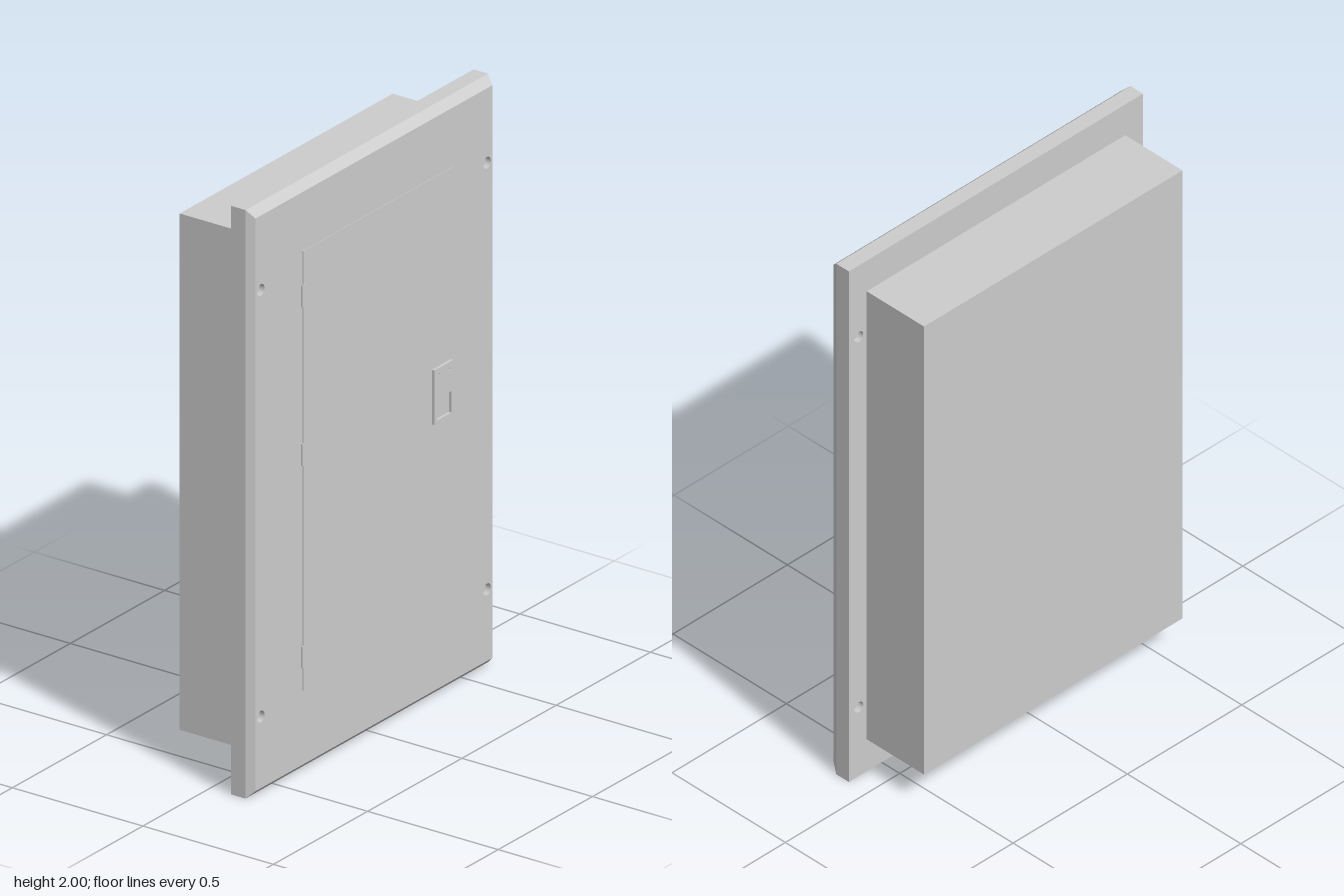
import * as THREE from 'three';

const FRONT = 0.163; // front plane of the cover
const BACK = 0.08; // rear plane of the cover

export function createModel() {
  const model = new THREE.Group();
  const material = new THREE.MeshStandardMaterial({ color: 0xcccccc });

  const add = (name, geometry) => {
    const mesh = new THREE.Mesh(geometry, material);
    mesh.name = name;
    model.add(mesh);
    return mesh;
  };
  // box given by its limits on each axis
  const block = (name, x0, x1, y0, y1, z0, z1) =>
    add(name, new THREE.BoxGeometry(x1 - x0, y1 - y0, z1 - z0))
      .position.set((x0 + x1) / 2, (y0 + y1) / 2, (z0 + z1) / 2);
  const rectangle = (Type, x0, x1, y0, y1) => new Type([
    new THREE.Vector2(x0, y0), new THREE.Vector2(x1, y0),
    new THREE.Vector2(x1, y1), new THREE.Vector2(x0, y1),
  ]);
  const roundHole = (x, y, r) => new THREE.Path().absarc(x, y, r, 0, Math.PI * 2, true);

  // recessed enclosure box
  block('enclosure', -0.565, 0.565, 0.125, 1.88, -0.173, BACK);

  // cover with chamfered front rim and four screw holes
  const screws = [];
  for (const x of [-0.6, 0.6]) for (const y of [0.27, 1.72]) screws.push([x, y]);
  const coverShape = rectangle(THREE.Shape, -0.643, 0.643, 0, 2);
  for (const [x, y] of screws) coverShape.holes.push(roundHole(x, y, 0.02));
  const cover = new THREE.ExtrudeGeometry(coverShape, {
    depth: FRONT - BACK, steps: 3, bevelEnabled: false, curveSegments: 12,
  });
  cover.translate(0, 0, BACK);
  const p = cover.attributes.position;
  for (let i = 0; i < p.count; i++) {
    if (p.getZ(i) > FRONT - 0.001 && Math.abs(p.getX(i)) > 0.64) {
      p.setX(i, Math.sign(p.getX(i)) * 0.628);
      p.setY(i, p.getY(i) > 1 ? 1.973 : 0.027);
    }
  }
  cover.computeVertexNormals();
  add('cover', cover);

  // screws sunk in the holes
  for (const [x, y] of screws) {
    const screw = add('coverScrew', new THREE.CylinderGeometry(0.02, 0.02, 0.043, 24));
    screw.rotation.x = Math.PI / 2;
    screw.position.set(x, y, 0.1215);
  }

  // door edges and hinge knuckles
  block('doorTopEdge', -0.375, 0.42, 1.767, 1.773, FRONT - 0.01, FRONT + 0.002);
  block('doorHingeEdge', -0.38, -0.37, 0.28, 1.773, FRONT - 0.01, FRONT + 0.004);
  for (const y of [0.395, 1.083, 1.622]) {
    block('hinge', -0.387, -0.372, y - 0.037, y + 0.037, FRONT - 0.01, FRONT + 0.006);
  }

  // latch plate with paddle pocket and two rivet holes
  const plate = rectangle(THREE.Shape, 0.307, 0.408, 0.937, 1.122);
  plate.holes.push(rectangle(THREE.Path, 0.32, 0.397, 0.947, 1.02));
  for (const x of [0.33, 0.385]) plate.holes.push(roundHole(x, 1.1, 0.004));
  const plateGeometry = new THREE.ExtrudeGeometry(plate, { depth: 0.01, bevelEnabled: false });
  add('latchPlate', plateGeometry).position.z = FRONT;
  block('latchPaddle', 0.325, 0.391, 0.953, 1.018, FRONT - 0.005, FRONT + 0.005);

  return model;
}
